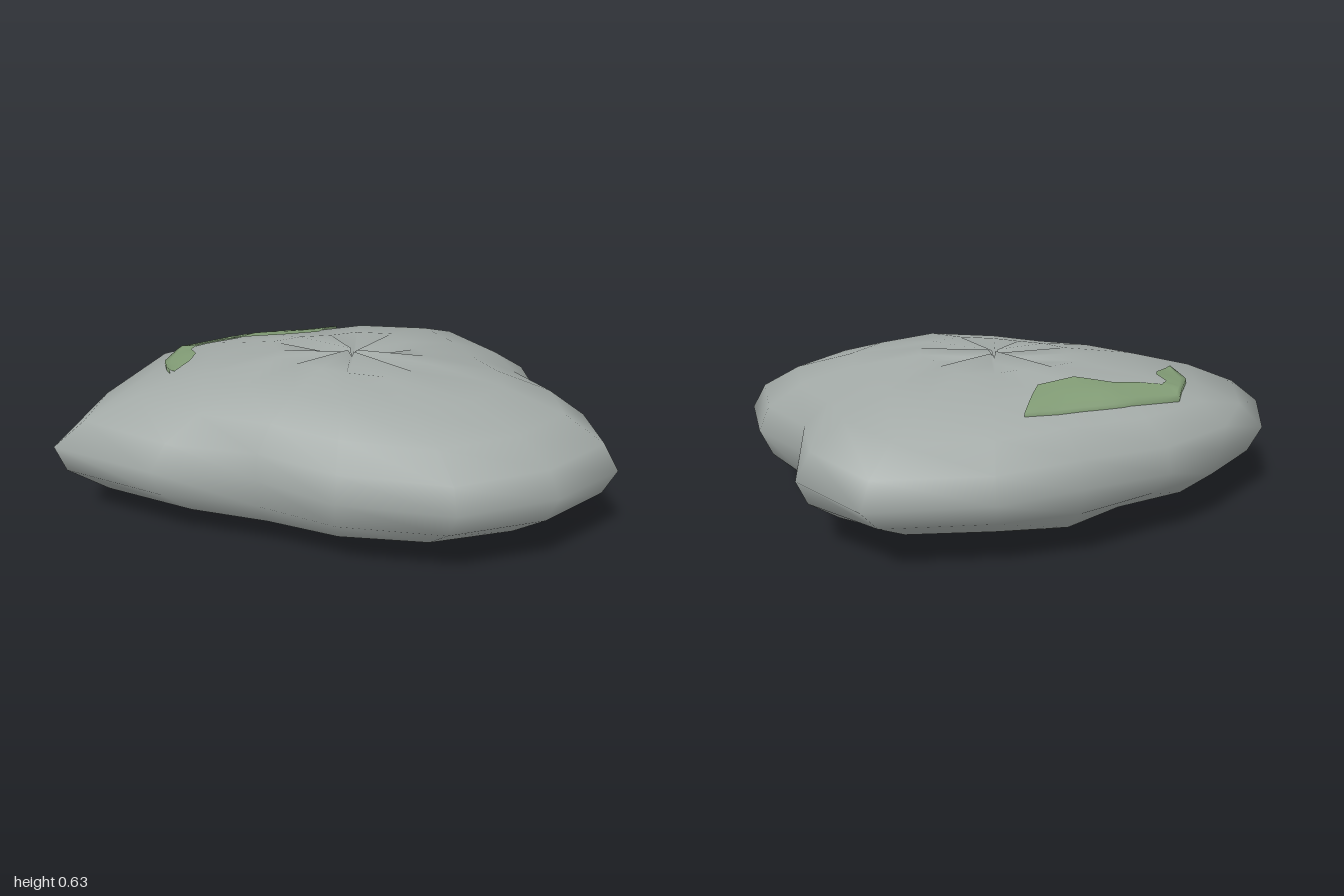
import * as THREE from 'three';
import { mergeVertices } from 'three/addons/utils/BufferGeometryUtils.js';

const SIDES = 16, BANDS = 10, CX = 0.05, CZ = 0.03, MID = 0.32, HALF = 0.315;

// Columns of the boulder from -x round through +z:
// x and z at the widest level, then fullness of the upper and lower half
const COLUMNS = [
  [-0.965, 0.03, -0.15, 0], [-1, 0.3, -0.2, 0.05], [-0.61, 0.45, -0.1, 0.02], [-0.235, 0.47, 0.07, 0.19],
  [0.05, 0.605, 0, 0.02], [0.45, 0.64, 0.05, -0.06], [0.785, 0.49, 0, 0], [1, 0.27, -0.03, 0],
  [0.935, 0.03, 0, 0], [0.755, -0.16, 0.06, 0.13], [0.735, -0.41, -0.09, 0], [0.49, -0.65, -0.05, -0.2],
  [0.05, -0.61, 0.03, -0.16], [-0.25, -0.49, 0.01, 0.08], [-0.56, -0.37, 0.09, -0.17], [-0.77, -0.18, 0.2, 0.06],
];

// Depth of each column's tip around the poles, giving a creased star
const DENTS = [0.01, 0.055, 0, 0.04, 0.055, 0.005, 0.05, 0, 0.03, 0.06, 0.01, 0.05, 0.045, 0, 0.055, 0.03];

// Sphere whose rings follow the columns, with a tiny ring of uneven tips at each pole
function boulderGeometry() {
  const rings = BANDS + 2;
  const sphere = new THREE.SphereGeometry(1, SIDES, rings);
  const pos = sphere.attributes.position;
  for (let i = 0; i < pos.count; i++) {
    const side = (i % (SIDES + 1)) % SIDES;
    const ring = Math.floor(i / (SIDES + 1));
    const [x, z, upper, lower] = COLUMNS[side];
    const polar = THREE.MathUtils.clamp((ring - 1) / BANDS, 0, 1) * Math.PI;
    const up = Math.cos(polar);
    let r = Math.sin(polar) * (1 + Math.abs(up) * (up > 0 ? upper : lower));
    let height = HALF;
    if (ring === 0 || ring === rings) {
      r = 0;
      height -= 0.03;
    } else if (ring === 1 || ring === rings - 1) {
      r = 0.02;
      height -= DENTS[side];
    }
    pos.setXYZ(i, CX + (x - CX) * r, MID + up * height, CZ + (z - CZ) * r);
  }
  sphere.deleteAttribute('normal');
  sphere.deleteAttribute('uv');
  const geometry = mergeVertices(sphere);
  geometry.computeVertexNormals();
  return geometry;
}

// Strip laid over the boulder between two edges, with a short lip down its outer edge
function mossGeometry(boulder) {
  const outer = [[-0.61, 0.09], [-0.635, 0.04], [-0.655, -0.02], [-0.63, -0.11], [-0.605, -0.19],
    [-0.4, -0.28], [-0.25, -0.32], [-0.05, -0.38]];
  const inner = [[-0.595, 0.085], [-0.55, 0.01], [-0.54, -0.04], [-0.57, -0.09], [-0.55, -0.13],
    [-0.37, -0.17], [-0.23, -0.16], [-0.1, -0.22]];
  const ACROSS = 5, ALONG = 4;
  const ray = new THREE.Raycaster();
  const down = new THREE.Vector3(0, -1, 0);
  const heightAt = (x, z) => {
    ray.set(new THREE.Vector3(x, 2, z), down);
    const hit = ray.intersectObject(boulder)[0];
    return hit ? hit.point.y : MID;
  };
  const mix = THREE.MathUtils.lerp;
  const points = [], index = [];
  const count = (outer.length - 1) * ALONG;
  for (let i = 0; i <= count; i++) {
    const k = Math.min(Math.floor(i / ALONG), outer.length - 2), f = i / ALONG - k;
    const edge = (e) => [mix(e[k][0], e[k + 1][0], f), mix(e[k][1], e[k + 1][1], f)];
    const [ox, oz] = edge(outer), [ix, iz] = edge(inner);
    for (let j = -1; j <= ACROSS; j++) {
      const t = Math.max(0, j) / ACROSS;
      const x = mix(ox, ix, t), z = mix(oz, iz, t);
      const lift = j < 0 ? -0.01 : mix(0.016, 0.004, t);
      points.push(x, heightAt(x, z) + lift, z);
    }
  }
  const row = ACROSS + 2;
  for (let i = 0; i < count; i++) {
    for (let j = 0; j < row - 1; j++) {
      const a = i * row + j, b = a + row;
      index.push(a, a + 1, b, b, a + 1, b + 1);
    }
  }
  const geometry = new THREE.BufferGeometry();
  geometry.setAttribute('position', new THREE.Float32BufferAttribute(points, 3));
  geometry.setIndex(index);
  geometry.computeVertexNormals();
  return geometry;
}

export function createModel() {
  const group = new THREE.Group();
  group.name = 'mossyRock';

  const stone = new THREE.MeshStandardMaterial({ color: 0xa2a9a6 });
  const boulder = new THREE.Mesh(boulderGeometry(), stone);
  boulder.name = 'boulder';
  boulder.updateMatrixWorld();

  const green = new THREE.MeshStandardMaterial({ color: 0x809a74, side: THREE.DoubleSide });
  const moss = new THREE.Mesh(mossGeometry(boulder), green);
  moss.name = 'mossPatch';

  group.add(boulder, moss);
  return group;
}
